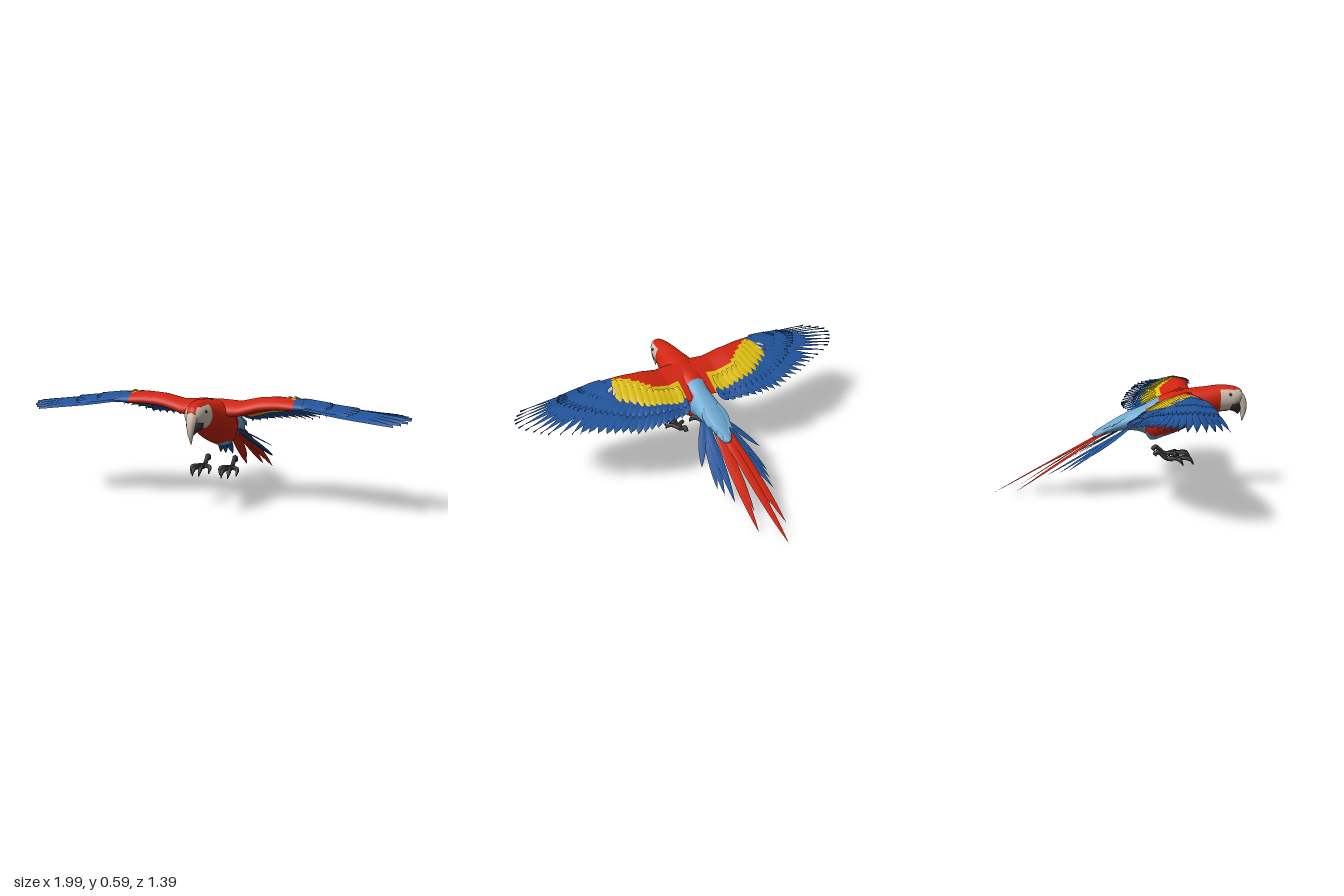
import * as THREE from 'three';
import { mergeGeometries, mergeVertices } from 'three/addons/utils/BufferGeometryUtils.js';

const V = (x, y, z) => new THREE.Vector3(x, y, z);
const curve = (pts) => new THREE.CatmullRomCurve3(pts.map((p) => V(...p)));
const paint = (name, color) => {
  const m = new THREE.MeshStandardMaterial({ color, side: THREE.DoubleSide });
  m.name = name;
  return m;
};

// Smooth surface from point(u, v); pick(centre) chooses the material index of each cell
function surface(nu, nv, point, pick = () => 0, flip = false) {
  const pos = [], cells = [];
  for (let i = 0; i <= nu; i++) {
    for (let j = 0; j <= nv; j++) pos.push(...point(i / nu, j / nv).toArray());
  }
  for (let i = 0; i < nu; i++) {
    for (let j = 0; j < nv; j++) {
      const a = i * (nv + 1) + j, b = a + nv + 1;
      const tri = flip ? [a, a + 1, b, b, a + 1, b + 1] : [a, b, a + 1, b, b + 1, a + 1];
      const m = pick(point((i + 0.5) / nu, (j + 0.5) / nv));
      (cells[m] ??= []).push(...tri);
    }
  }
  let g = new THREE.BufferGeometry();
  g.setAttribute('position', new THREE.Float32BufferAttribute(pos, 3));
  g.setIndex(cells.flat());
  g = mergeVertices(g, 1e-5);
  let start = 0;
  cells.forEach((c, m) => { g.addGroup(start, c.length, m); start += c.length; });
  g.computeVertexNormals();
  return g;
}

// Round limb with changing radius along a path
function taper(pts, radii, flat = 1, n = 14) {
  const c = curve(pts), f = c.computeFrenetFrames(n);
  return surface(n, 10, (u, v) => {
    const k = u * (radii.length - 1), i = Math.min(Math.floor(k), radii.length - 2);
    const r = THREE.MathUtils.lerp(radii[i], radii[i + 1], k - i), a = v * Math.PI * 2;
    const row = Math.round(u * n);
    const p = c.getPoint(u).addScaledVector(f.normals[row], r * Math.cos(a))
      .addScaledVector(f.binormals[row], -r * Math.sin(a));
    p.x = c.getPoint(u).x + (p.x - c.getPoint(u).x) * flat;
    return p;
  });
}

// Thin pointed blade; drape(p, u, v) may reset its height
function feather(base, tip, w, drape, point = 3) {
  const dir = tip.clone().sub(base).normalize();
  const lat = V(0, 1, 0).cross(dir).normalize();
  return surface(10, 4, (u, t) => {
    const v = t * 2 - 1;
    const half = w * 0.5 * (0.55 + 0.45 * Math.min(1, u * 2.5)) * (1 - u ** point);
    const p = base.clone().lerp(tip, u).addScaledVector(lat, half * v);
    p.y += w * 0.12 * (1 - v * v) * (1 - u);
    if (drape) drape(p, u, v);
    return p;
  });
}

// Piecewise linear lookup through [x, value] pairs
function lookup(table, x) {
  for (let i = 1; i < table.length; i++) {
    const [a, p] = table[i - 1], [b, q] = table[i];
    if (x <= b) return p + (q - p) * Math.max(0, (x - a) / (b - a));
  }
  return table.at(-1)[1];
}

// Middle height of the wing at x, z
const RIDGE = [[0.05, 0.53], [0.15, 0.53], [0.25, 0.555], [0.35, 0.566], [0.5, 0.568], [0.6, 0.558], [0.8, 0.537], [1, 0.51]];
function wingY(x, z) {
  x = Math.abs(x);
  const fade = THREE.MathUtils.clamp(1 - (x - 0.45) * 1.5, 0.2, 1);
  return lookup(RIDGE, x) - 0.6 * fade * Math.max(0, 0.34 - z) ** 1.3 - 0.2 * Math.max(0, z - 0.34);
}

export function createModel() {
  const red = paint('scarlet', 0xd0240f), blue = paint('feather blue', 0x21539a);
  const yellow = paint('yellow', 0xdcbc10), sky = paint('light blue', 0x6ca8d0);
  const cream = paint('cream', 0xd2c3b4), dark = paint('charcoal', 0x322e32);
  const model = new THREE.Group();
  const add = (name, geo, mat, parent = model) => {
    const m = new THREE.Mesh(geo, mat);
    m.name = name;
    parent.add(m);
    return m;
  };

  // Body and head: z, top, bottom and half width of each section
  const sections = [
    [0.673, 0.54, 0.535, 0.003], [0.664, 0.565, 0.51, 0.026], [0.64, 0.583, 0.48, 0.043], [0.6, 0.593, 0.456, 0.054],
    [0.54, 0.596, 0.447, 0.066], [0.47, 0.588, 0.425, 0.085], [0.4, 0.58, 0.385, 0.108],
    [0.32, 0.568, 0.343, 0.112], [0.24, 0.545, 0.313, 0.098], [0.17, 0.51, 0.295, 0.08],
    [0.135, 0.49, 0.332, 0.075], [0.05, 0.452, 0.35, 0.072], [-0.05, 0.397, 0.335, 0.055], [-0.13, 0.345, 0.305, 0.025], [-0.15, 0.328, 0.322, 0.004],
  ];
  const outline = curve(sections.map((s) => s.slice(0, 3)));
  const widths = curve(sections.map((s) => [s[0], s[3], 0]));
  const bodyPoint = (u, v) => {
    const o = outline.getPoint(u), a = v * Math.PI * 2;
    const mid = (o.y + o.z) / 2, h = (o.y - o.z) / 2;
    return V(widths.getPoint(u).y * Math.cos(a), mid + h * Math.sin(a), o.x);
  };
  add('body', surface(110, 56, bodyPoint, (p) => {
    const x = Math.abs(p.x);
    if (p.z < 0.14 || (p.z < 0.21 && p.y > 0.45 && x < 0.05)) return 1;
    if (p.z < 0.28 && p.y < 0.345 && x < 0.055) return 1;
    if (x > 0.022 && p.z > 0.54 && p.y > 0.462 && p.y < 0.572) return 2;
    return 0;
  }), [red, sky, cream]);

  // Beak and eyes
  add('upperBeak', taper([[0, 0.525, 0.61], [0, 0.53, 0.645], [0, 0.5, 0.667], [0, 0.45, 0.675], [0, 0.395, 0.67]],
    [0.034, 0.034, 0.027, 0.018, 0.001], 0.9), cream);
  add('lowerBeak', taper([[0, 0.5, 0.6], [0, 0.482, 0.628], [0, 0.458, 0.643], [0, 0.435, 0.645]],
    [0.042, 0.036, 0.023, 0.002], 1.15), dark);
  for (const s of [1, -1]) {
    const eye = add('eye', new THREE.SphereGeometry(0.008, 12, 8), dark);
    eye.position.set(s * 0.05, 0.547, 0.598);
  }

  // Wings
  const lead = [[0.03, 0.43], [0.1, 0.425], [0.2, 0.408], [0.3, 0.402], [0.43, 0.418], [0.62, 0.43]];
  const trail = [[0.03, 0.14], [0.15, 0.13], [0.32, 0.14], [0.43, 0.21], [0.52, 0.31], [0.62, 0.41]];
  const thick = [[0.03, 0.12], [0.15, 0.1], [0.3, 0.09], [0.43, 0.07], [0.52, 0.04], [0.62, 0.004]];
  const border = (x) => 0.24 + Math.max(0, x - 0.25) * 0.7;
  const tips = curve([[0.925, 0, 0.46], [0.985, 0, 0.385], [0.995, 0, 0.3], [0.945, 0, 0.225], [0.89, 0, 0.17],
    [0.78, 0, 0.12], [0.7, 0, 0.095], [0.615, 0, 0.06], [0.53, 0, 0.045], [0.45, 0, 0.025], [0.37, 0, 0.025],
    [0.29, 0, 0.03], [0.21, 0, 0.05], [0.13, 0, 0.07]]);
  const roots = curve([[0.48, 0, 0.41], [0.48, 0, 0.38], [0.47, 0, 0.35], [0.46, 0, 0.31], [0.43, 0, 0.27],
    [0.38, 0, 0.21], [0.3, 0, 0.18], [0.2, 0, 0.16], [0.11, 0, 0.15]]);

  for (const s of [1, -1]) {
    const wing = new THREE.Group();
    wing.name = s > 0 ? 'leftWing' : 'rightWing';
    model.add(wing);
    const side = (p) => V(p.x * s, p.y, p.z);
    const drape = (lift0, lift1, tilt) => (p, u, v) => {
      p.y = wingY(p.x, p.z) + THREE.MathUtils.lerp(lift0, lift1, u) + tilt * v * s + 0.004 * (1 - v * v);
    };

    // Arm, red in front and yellow behind, blue at the wrist
    add('wingArm', surface(60, 48, (u, v) => {
      const x = 0.03 + 0.59 * u, a = v * Math.PI * 2, c = (1 - Math.cos(a)) / 2;
      const z = THREE.MathUtils.lerp(lookup(lead, x), lookup(trail, x), c);
      return V(s * x, wingY(x, z) + lookup(thick, x) * 0.5 * Math.sin(a) * (1 - 0.7 * c), z);
    }, (p) => {
      const x = Math.abs(p.x);
      if (x > 0.47 || (x > 0.435 && p.z > 0.31)) return 2;
      return p.z > border(x) || x < 0.09 ? 0 : 1;
    }, s < 0), [red, yellow, blue], wing);

    // Long flight feathers and two shorter rows over them
    const flight = [], coverts = [];
    const count = 27;
    for (let i = 0; i < count; i++) {
      const t = i / (count - 1), root = side(roots.getPoint(t)), tip = side(tips.getPoint(t));
      flight.push(feather(root, tip, 0.062 - 0.008 * t, drape(0, 0, 0.005), t < 0.4 ? 3 : 6));
      const reach = t < 0.4 ? 0.52 : 0.58;
      coverts.push(feather(root, root.clone().lerp(tip, reach), 0.052, drape(0.012, 0.008, 0.004), 5));
      if (t < 0.42) coverts.push(feather(root, root.clone().lerp(tip, 0.28), 0.045, drape(0.018, 0.014, 0.004), 4));
    }
    add('flightFeathers', mergeGeometries(flight), blue, wing);
    add('wingCoverts', mergeGeometries(coverts), blue, wing);

    // Yellow row and the pale feathers at its outer end
    const gold = [];
    for (let i = 0; i < 11; i++) {
      const x = 0.12 + i * 0.031;
      const end = lookup(trail, x) - 0.012;
      gold.push(feather(V(s * x, 0, border(x) - 0.03), V(s * (x + 0.012 + i * 0.002), 0, end), 0.045, drape(0.029, 0.014, 0.003), 6));
    }
    add('yellowCoverts', mergeGeometries(gold), yellow, wing);
    add('paleCoverts', mergeGeometries([0, 1].map((i) =>
      feather(V(s * (0.45 + i * 0.01), 0, 0.28 + i * 0.02), V(s * (0.485 + i * 0.02), 0, 0.235 + i * 0.03), 0.022,
        drape(0.024, 0.024, 0.002)))), cream, wing);
  }

  // Tail: long red feathers in the middle, blue ones fanned to the sides
  const fan = (list, spread, z, y, w) => mergeGeometries(list.map(([tx, ty, tz]) =>
    feather(V(tx * spread, y, z), V(tx, ty, tz), w, null, 4)));
  add('redTail', fan([[-0.015, 0.005, -0.695], [-0.085, 0.025, -0.57], [0.08, 0.025, -0.56],
    [-0.055, 0.09, -0.47], [0.05, 0.09, -0.47], [-0.01, 0.157, -0.41]], 0.35, -0.03, 0.372, 0.05), red);
  const blueTips = [];
  for (const s of [1, -1]) {
    blueTips.push([s * 0.122, 0.125, -0.395], [s * 0.16, 0.155, -0.28], [s * 0.185, 0.235, -0.165], [s * 0.145, 0.14, -0.33]);
  }
  add('blueTail', fan(blueTips, 0.3, 0.04, 0.36, 0.045), blue);
  add('rumpFeathers', fan([[-0.05, 0.355, -0.1], [0.05, 0.355, -0.1], [-0.025, 0.345, -0.13], [0.025, 0.345, -0.13],
    [-0.065, 0.375, -0.05], [0.065, 0.375, -0.05]], 0.7, 0.05, 0.44, 0.04), sky);

  // Feet: a short shank and four clawed toes
  for (const s of [1, -1]) {
    const foot = new THREE.Group();
    foot.name = s > 0 ? 'leftFoot' : 'rightFoot';
    model.add(foot);
    const x = s * 0.075;
    add('shank', taper([[x, 0.222, 0.186], [x, 0.24, 0.2], [x, 0.228, 0.222], [x, 0.205, 0.25], [x, 0.2, 0.285]],
      [0.012, 0.014, 0.011, 0.012, 0.014]), dark, foot);
    for (const [tx, tz] of [[0.03, 0.33], [0.06, 0.397], [0.095, 0.397], [0.122, 0.34]]) {
      const mx = (0.075 + tx) / 2;
      add('toe', taper([[x, 0.2, 0.26], [s * mx, 0.207, (0.26 + tz) / 2], [s * tx, 0.203, tz - 0.02], [s * tx, 0.172, tz]],
        [0.011, 0.011, 0.012, 0.002]), dark, foot);
    }
  }
  return model;
}
